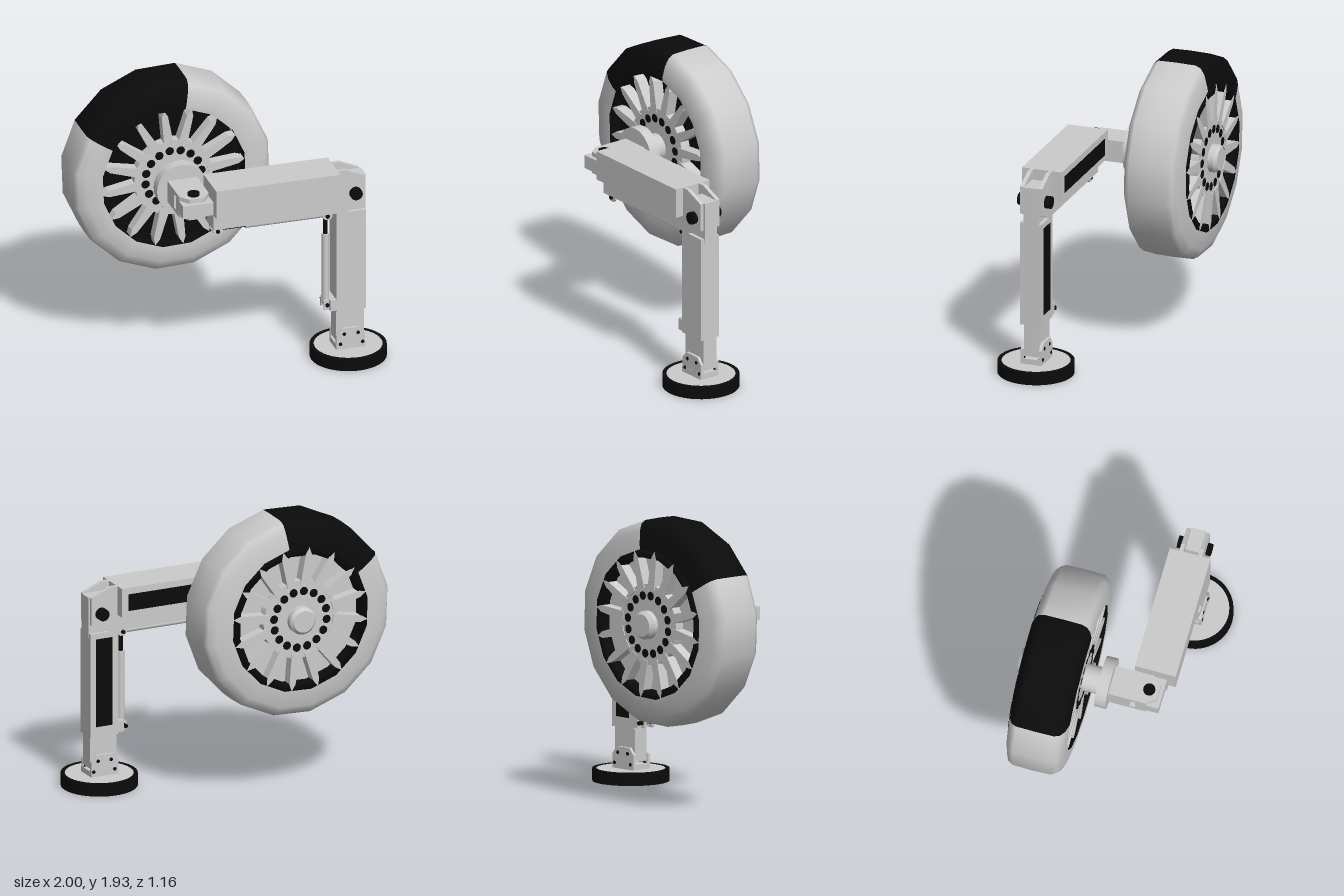
import * as THREE from 'three';

const grey = new THREE.MeshStandardMaterial({ color: 0xcccccc, side: THREE.DoubleSide });
const black = new THREE.MeshStandardMaterial({ color: 0x0b0b0b, side: THREE.DoubleSide });
const RAD = Math.PI / 180;

export function createModel() {
  const model = new THREE.Group();
  model.name = 'wheelOnFoldingLeg';

  const add = (name, geometry, material = grey, parent = model) => {
    const mesh = new THREE.Mesh(geometry, material);
    mesh.name = name;
    parent.add(mesh);
    return mesh;
  };
  // Box given by its limits on each axis
  const box = (name, [x0, x1], [y0, y1], [z0, z1], material) => {
    const m = add(name, new THREE.BoxGeometry(x1 - x0, y1 - y0, z1 - z0), material);
    m.position.set((x0 + x1) / 2, (y0 + y1) / 2, (z0 + z1) / 2);
    return m;
  };
  // Cylinder between two points
  const rod = (name, a, b, r, material, sides = 24, parent = model) => {
    const p = new THREE.Vector3(...a), q = new THREE.Vector3(...b);
    const m = add(name, new THREE.CylinderGeometry(r, r, p.distanceTo(q), sides), material, parent);
    m.position.copy(p).add(q).multiplyScalar(0.5);
    m.quaternion.setFromUnitVectors(new THREE.Vector3(0, 1, 0), q.sub(p).normalize());
    return m;
  };
  // Outline in x and y, extruded from z0 to z1
  const plate = (name, points, z0, z1, material, parent) => {
    const shape = new THREE.Shape(points.map(([x, y]) => new THREE.Vector2(x, y)));
    const g = new THREE.ExtrudeGeometry(shape, { depth: z1 - z0, bevelEnabled: false });
    g.translate(0, 0, z0);
    return add(name, g, material, parent);
  };

  // ---- Wheel, with its axle along z ----
  const wheel = new THREE.Group();
  wheel.name = 'wheel';
  wheel.position.set(-0.32, 1.245, 0);
  model.add(wheel);

  const tireProfile = [[0.5, -0.515], [0.535, -0.512], [0.62, -0.497], [0.668, -0.475], [0.687, -0.44],
    [0.69, -0.3], [0.687, -0.18], [0.665, -0.145], [0.61, -0.12], [0.54, -0.11], [0.5, -0.112]]
    .map(([r, z]) => new THREE.Vector2(r, z));
  const spin = (name, points, material, start = 170.9, length = 360, segments = 16) => {
    const g = new THREE.LatheGeometry(points, segments, start * RAD, length * RAD);
    return add(name, g.rotateX(Math.PI / 2), material, wheel);
  };
  spin('tireDarkPatch', tireProfile, black, 170.9, 67.5, 3);
  spin('tire', tireProfile, grey, 238.4, 292.5, 13);
  spin('rimBarrel', [new THREE.Vector2(0.5, -0.112), new THREE.Vector2(0.5, -0.52),
    new THREE.Vector2(0.45, -0.52), new THREE.Vector2(0.45, -0.2)], black);
  rod('frontWheelDisc', [0, 0, -0.24], [0, 0, -0.2], 0.49, black, 32, wheel);
  rod('rearWheelDisc', [0, 0, -0.45], [0, 0, -0.42], 0.46, grey, 32, wheel);
  rod('hub', [0, 0, -0.515], [0, 0, -0.13], 0.27, grey, 32, wheel);

  // Pointed spokes and hub holes
  for (let i = 0; i < 16; i++) {
    const angle = (7.7 + i * 22.5) * RAD;
    const spoke = plate('spoke', [[0.24, -0.033], [0.45, -0.022], [0.497, 0], [0.45, 0.022], [0.24, 0.033]],
      -0.522, -0.125, grey, wheel);
    spoke.rotation.z = angle;
    const x = 0.195 * Math.cos(angle), y = 0.195 * Math.sin(angle);
    rod('hubHole', [x, y, -0.518], [x, y, -0.127], 0.029, black, 12, wheel);
  }
  rod('hubCap', [0, 0, -0.555], [0, 0, -0.5], 0.095, grey, 24, wheel);
  const capTip = add('hubCapBevel', new THREE.CylinderGeometry(0.095, 0.075, 0.022, 24), grey, wheel);
  capTip.rotation.x = Math.PI / 2;
  capTip.position.z = -0.565;
  rod('axle', [0, 0, -0.15], [0, 0, 0], 0.092, grey, 24, wheel);
  rod('axleFlange', [0, 0, -0.02], [0, 0, 0.055], 0.172, grey, 32, wheel);

  // ---- Joint between axle and arm ----
  box('axleBlock', [-0.42, -0.215], [1.165, 1.315], [0.05, 0.2]);
  for (const [y0, y1] of [[1.165, 1.19], [1.285, 1.315]]) {
    const fork = plate('axleFork', [[-0.42, 0.2], [-0.215, 0.2], [-0.215, 0.31], [-0.265, 0.375],
      [-0.37, 0.375], [-0.42, 0.31]], 0, y1 - y0);
    fork.rotation.x = Math.PI / 2;
    fork.position.y = y1;
  }
  box('armTongue', [-0.42, -0.2], [1.192, 1.283], [0.24, 0.4]);
  rod('axlePin', [-0.32, 1.15, 0.31], [-0.32, 1.332, 0.31], 0.04, black);

  // ---- Horizontal arm ----
  box('armCover', [-0.21, 0.65], [1.19, 1.39], [0.18, 0.46]);
  box('armBeam', [-0.21, 0.65], [1.08, 1.385], [0.25, 0.4]);
  box('armPanel', [-0.15, 0.6], [1.23, 1.345], [0.177, 0.19], black);
  for (const [z0, z1] of [[0.245, 0.272], [0.375, 0.402]]) {
    plate('kneeFork', [[0.64, 1.08], [0.7, 1.08], [0.84, 1.14], [0.84, 1.33], [0.7, 1.39], [0.64, 1.39]], z0, z1);
  }
  rod('kneePin', [0.77, 1.217, 0.205], [0.77, 1.217, 0.435], 0.042, black);

  // ---- Vertical leg ----
  box('legTongue', [0.69, 0.85], [1.05, 1.33], [0.274, 0.373]);
  plate('legBeam', [[0.64, 1.08], [0.64, 0.45], [0.6, 0.445], [0.6, 0.37], [0.64, 0.37], [0.64, 0.36],
    [0.845, 0.36], [0.845, 1.08]], 0.25, 0.4);
  box('legPanel', [0.685, 0.805], [0.43, 1.04], [0.247, 0.26], black);
  box('lowerLeg', [0.645, 0.84], [0.14, 0.37], [0.27, 0.375]);

  // ---- Actuators below the arm and beside the leg ----
  rod('armPistonRod', [-0.17, 1.052, 0.325], [0.04, 1.052, 0.325], 0.013, black, 16);
  rod('armPistonSleeve', [0.03, 1.052, 0.325], [0.58, 1.052, 0.325], 0.021, grey, 16);
  rod('legPistonRod', [0.587, 0.9, 0.325], [0.587, 1.04, 0.325], 0.014, black, 16);
  rod('legPistonSleeve', [0.587, 0.4, 0.325], [0.587, 0.91, 0.325], 0.024, grey, 16);
  for (const [x, side] of [[-0.17, -1], [0.59, 1]]) {
    for (const z of [0.285, 0.35]) {
      plate('armPistonLug', [[x - 0.035, 1.085], [x - 0.03, 1.04], [x - 0.015, 1.025], [x + 0.02, 1.025],
        [x + 0.035, 1.045], [x + 0.035, 1.085]], z, z + 0.015);
    }
    rod('armPistonPin', [x, 1.052, 0.275], [x, 1.052, 0.375], 0.014, black, 16);
  }
  for (const z of [0.28, 0.35]) {
    plate('legPistonLug', [[0.61, 0.37], [0.61, 0.447], [0.565, 0.432], [0.565, 0.37]], z, z + 0.02);
  }
  rod('legPistonPin', [0.587, 0.405, 0.245], [0.587, 0.405, 0.375], 0.014, black, 16);

  // ---- Foot ----
  const foot = new THREE.LatheGeometry([[0, 0], [0.255, 0], [0.255, 0.085], [0.228, 0.085], [0.228, 0.07]]
    .map(([r, y]) => new THREE.Vector2(r, y)), 40).toNonIndexed();
  foot.computeVertexNormals();
  add('footPad', foot, black).position.set(0.745, 0, 0.325);
  rod('footTop', [0.745, 0.03, 0.325], [0.745, 0.083, 0.325], 0.23, grey, 40);
  box('footBase', [0.64, 0.84], [0.08, 0.12], [0.25, 0.4]);
  for (const [z0, z1] of [[0.25, 0.27], [0.378, 0.398]]) {
    plate('ankleBracket', [[0.64, 0.08], [0.84, 0.08], [0.84, 0.185], [0.8, 0.23], [0.68, 0.23], [0.64, 0.185]], z0, z1);
    for (const [x, y] of [[0.668, 0.12], [0.822, 0.12], [0.695, 0.19], [0.79, 0.19]]) {
      rod('ankleBolt', [x, y, z0 - 0.004], [x, y, z1 + 0.004], 0.012, black, 12);
    }
  }
  return model;
}
